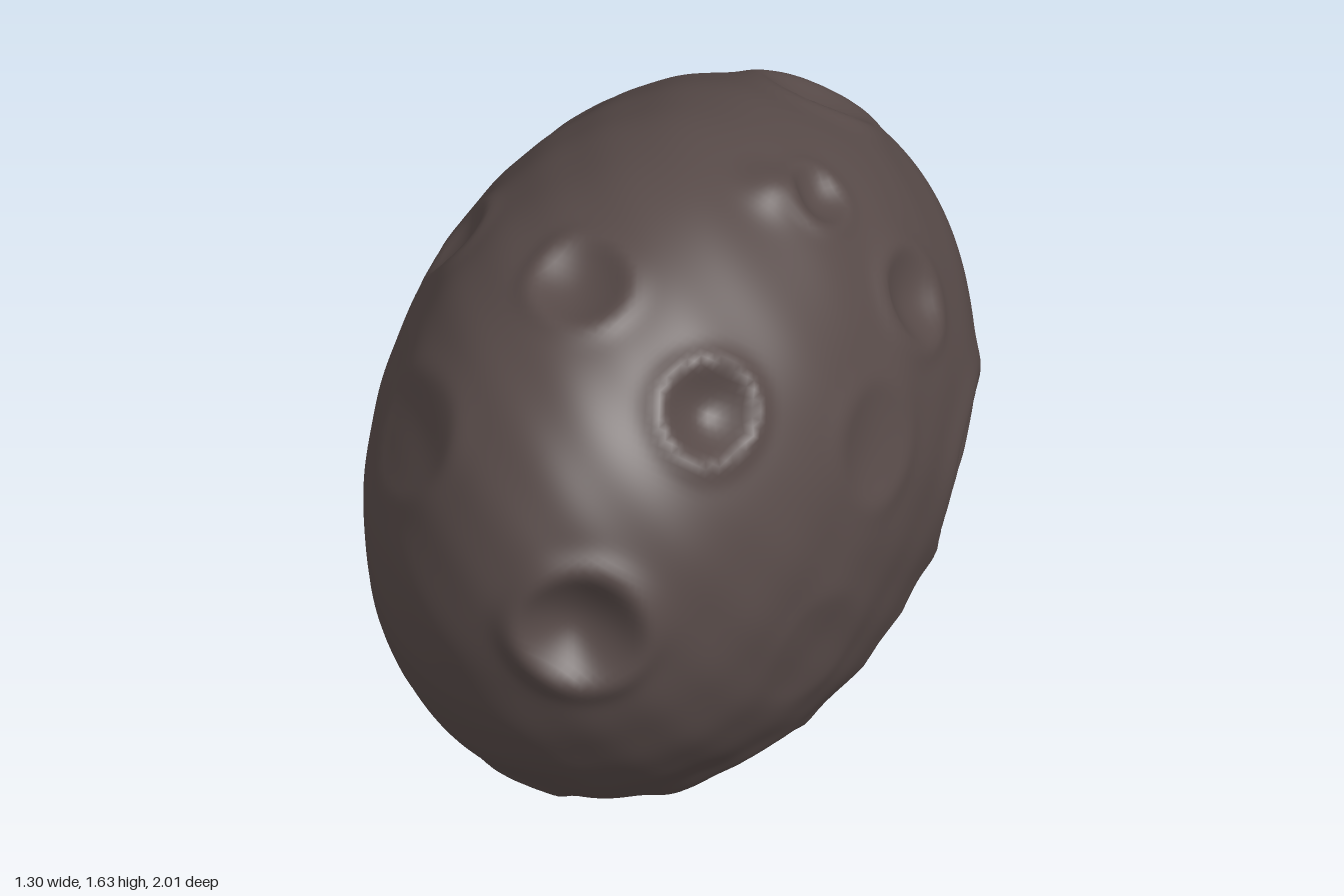
import * as THREE from 'three';
import { mergeVertices } from 'three/addons/utils/BufferGeometryUtils.js';

const RADII = new THREE.Vector3(0.649, 0.808, 0.994);
const GROUND = -0.81;

// Body surface in a given direction: an ellipsoid that bulges a little at the
// upper front and lower back, with slightly full shoulders
function bodyPoint(v) {
  const { x, y, z } = v;
  const swell = 1 + 0.03 * y * z + 0.02 * x * x * y * y + 0.03 * y * y * z * z;
  return v.clone().multiply(RADII).multiplyScalar(swell);
}

// Finds the body surface point that lies along a position from the centre
const onBody = (x, y, z) => bodyPoint(new THREE.Vector3(x, y, z).divide(RADII).normalize());

// Craters: position, radius, depth
const CRATERS = [
  [0.20, 0.10, 0.93, 0.15, 0.075],    // front
  [0.36, 0.53, 0.53, 0.12, 0.06],     // front, upper left
  [-0.48, -0.36, 0.50, 0.17, 0.055],  // front, lower right
  [-0.12, -0.63, 0.60, 0.10, 0.055],  // front, underneath
  [-0.33, 0.36, 0.70, 0.16, 0.02],    // front, upper right
  [-0.03, 0.72, 0.43, 0.12, 0.04],    // top, front
  [0.10, 0.61, -0.64, 0.14, 0.045],   // top, back
  [0.32, 0.69, -0.15, 0.09, 0.03],    // top, left
  [0.55, 0.42, -0.22, 0.12, 0.04],    // left side, high
  [0.58, -0.17, -0.38, 0.20, 0.055],  // left side, back
  [0.61, 0.24, 0.14, 0.14, 0.02],     // left side, middle
  [0.59, -0.20, 0.42, 0.15, 0.008],   // left side, front
  [0.53, -0.48, -0.05, 0.07, 0.008],  // left side, low
  [0.31, -0.68, 0.28, 0.16, 0.045],   // underside, left
  [-0.51, 0.32, -0.48, 0.19, 0.065],  // right side, back
  [-0.10, -0.15, -0.96, 0.18, 0.075], // back
  [-0.47, 0.54, 0.18, 0.11, 0.03],    // right side, high
  [-0.57, -0.29, -0.32, 0.14, 0.02],  // right side, low
  [-0.05, -0.73, -0.42, 0.08, 0.02],  // underside, back
  [-0.10, -0.57, -0.70, 0.12, 0.02],  // back, low
].map(([x, y, z, radius, depth]) => ({ center: onBody(x, y, z), radius, depth }));

// Lumps: position, radius, height
const LUMPS = [
  [0.25, 0.77, -0.05, 0.07, 0.03],    // top, left
  [-0.62, -0.22, 0.08, 0.10, 0.012],  // right side
  [0.05, -0.70, -0.55, 0.14, 0.018],  // underside, back
].map(([x, y, z, radius, height]) => ({ center: onBody(x, y, z), radius, height }));

// Bends positions a little so that crater outlines are irregular
const warp = ({ x, y, z }) => new THREE.Vector3(
  x + 0.012 * Math.sin(13 * y + 5 * z + 1),
  y + 0.012 * Math.sin(12 * z + 6 * x + 2),
  z + 0.012 * Math.sin(14 * x + 5 * y),
);

// Bowls with a soft low rim, plus rounded lumps
function featureHeight(p) {
  const q = warp(p);
  let h = 0;
  for (const { center, radius, depth } of CRATERS) {
    const d = q.distanceTo(warp(center)) / radius;
    if (d < 1.05) h -= depth * (1 - (d / 1.05) ** 2) ** 1.5;
    h += depth * 0.2 * Math.exp(-(((d - 1.1) / 0.27) ** 2));
  }
  for (const { center, radius, height } of LUMPS) {
    h += height * Math.exp(-((p.distanceTo(center) / radius) ** 2));
  }
  return h;
}

// Gentle unevenness of the rock
function roughness({ x, y, z }) {
  return 0.006 * Math.sin(5.1 * x + 3.2 * y + 1.3) * Math.sin(4.3 * z - 2.1 * y + 0.4)
    + 0.004 * Math.sin(11 * x - 7 * z + 2) * Math.sin(9 * y + 6 * z)
    + 0.002 * Math.sin(23 * y + 15 * x) * Math.sin(21 * z - 12 * x + 1);
}

// Blunt underside, flat where it rests
function settle(y) {
  const drop = 0.025 * THREE.MathUtils.smoothstep(-y, 0.55, 0.72);
  return Math.max(GROUND, y - drop) - GROUND;
}

function rockGeometry() {
  let geo = new THREE.IcosahedronGeometry(1, 50);
  geo.deleteAttribute('uv');
  geo.deleteAttribute('normal');
  geo = mergeVertices(geo, 1e-5);
  const pos = geo.attributes.position;
  const v = new THREE.Vector3();
  for (let i = 0; i < pos.count; i++) {
    v.fromBufferAttribute(pos, i).normalize();
    const n = v.clone().divide(RADII).normalize();
    const p = bodyPoint(v);
    p.addScaledVector(n, featureHeight(p) + roughness(p));
    pos.setXYZ(i, p.x, settle(p.y), p.z);
  }
  geo.computeVertexNormals();
  return geo;
}

export function createModel() {
  const group = new THREE.Group();
  group.name = 'asteroid';
  const material = new THREE.MeshStandardMaterial({ color: 0x574a48 });
  material.name = 'dark brown rock';
  const rock = new THREE.Mesh(rockGeometry(), material);
  rock.name = 'crateredRock';
  group.add(rock);
  return group;
}
